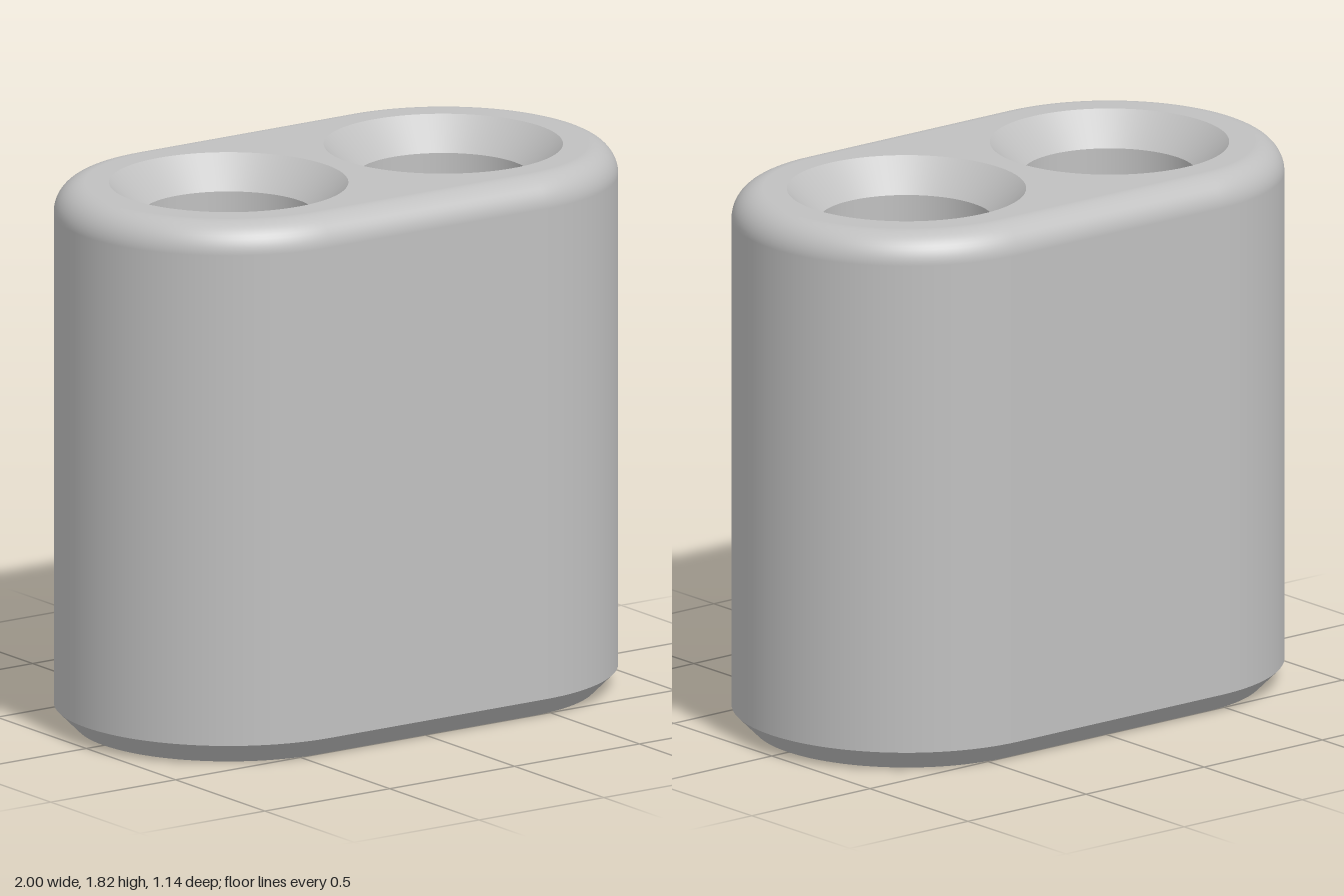
import * as THREE from 'three';

const HEIGHT = 1.82, RADIUS = 0.57, CENTRE = 0.43; // body height, end radius, end centres
const FILLET = 0.1, CHAMFER = 0.07;                // top rounding, bottom bevel
const BORE = 0.285, RIM = 0.39, SINK = RIM - BORE; // through holes and their countersinks
const SEG = 48;                                    // steps per half turn

// Closed outline as {x offset, angle}: two half circles about +centre and -centre
function outline(centre) {
  const steps = [];
  for (const side of [1, -1]) {
    for (let i = 0; i <= SEG; i++) {
      const angle = Math.PI * (i / SEG - 0.5) + (side < 0 ? Math.PI : 0);
      steps.push({ cx: side * centre, angle });
    }
  }
  steps.push(steps[0]);
  return steps;
}

// Sweeps a profile of [radius, y, normalOut, normalUp] round an outline
function sweep(steps, profile) {
  const position = [], normal = [], index = [], n = profile.length;
  steps.forEach(({ cx, angle }, i) => {
    const c = Math.cos(angle), s = Math.sin(angle);
    profile.forEach(([r, y, out, up], j) => {
      position.push(cx + r * c, y, r * s);
      normal.push(out * c, up, out * s);
      if (i < steps.length - 1 && j < n - 1) {
        const a = i * n + j, b = a + n;
        index.push(a, a + 1, b, b, a + 1, b + 1);
      }
    });
  });
  const geometry = new THREE.BufferGeometry();
  geometry.setAttribute('position', new THREE.Float32BufferAttribute(position, 3));
  geometry.setAttribute('normal', new THREE.Float32BufferAttribute(normal, 3));
  geometry.setIndex(index);
  return geometry;
}

// Straight facet between two profile points, with its own flat-profile normal
function facet([r0, y0], [r1, y1]) {
  const length = Math.hypot(r1 - r0, y1 - y0);
  const out = (y1 - y0) / length, up = (r0 - r1) / length;
  return [[r0, y0, out, up], [r1, y1, out, up]];
}

// Flat end face with both hole mouths cut out
function endFace(radius) {
  const shape = new THREE.Shape();
  shape.absarc(CENTRE, 0, radius, -Math.PI / 2, Math.PI / 2, false);
  shape.absarc(-CENTRE, 0, radius, Math.PI / 2, Math.PI * 1.5, false);
  for (const side of [1, -1]) {
    const hole = new THREE.Path();
    hole.absarc(side * CENTRE, 0, RIM, 0, Math.PI * 2, true);
    shape.holes.push(hole);
  }
  return new THREE.ShapeGeometry(shape, SEG);
}

export function createModel() {
  const model = new THREE.Group();
  model.name = 'twinBoreBlock';
  const grey = new THREE.MeshStandardMaterial({ color: 0xc0c0c0 });
  grey.name = 'grey';

  const add = (name, geometry, parent = model) => {
    const mesh = new THREE.Mesh(geometry, grey);
    mesh.name = name;
    parent.add(mesh);
    return mesh;
  };

  // Outer shell: bevelled foot, straight wall and rounded top edge
  const body = outline(CENTRE);
  const shoulder = HEIGHT - FILLET;
  add('bottomChamfer', sweep(body, facet([RADIUS - CHAMFER, 0], [RADIUS, CHAMFER])));
  add('outerWall', sweep(body, facet([RADIUS, CHAMFER], [RADIUS, shoulder])));
  const round = [];
  for (let i = 0; i <= 12; i++) {
    const a = (i / 12) * Math.PI / 2, c = Math.cos(a), s = Math.sin(a);
    round.push([RADIUS - FILLET + FILLET * c, shoulder + FILLET * s, c, s]);
  }
  add('topFillet', sweep(body, round));

  // End faces
  add('topFace', endFace(RADIUS - FILLET).rotateX(-Math.PI / 2).translate(0, HEIGHT, 0));
  add('bottomFace', endFace(RADIUS - CHAMFER).rotateX(Math.PI / 2));

  // Two through holes, countersunk at both ends
  const circle = outline(0);
  for (const side of [1, -1]) {
    const hole = new THREE.Group();
    hole.name = side > 0 ? 'leftHole' : 'rightHole';
    hole.position.x = side * CENTRE;
    add('topCountersink', sweep(circle, facet([RIM, HEIGHT], [BORE, HEIGHT - SINK])), hole);
    add('bore', sweep(circle, facet([BORE, HEIGHT - SINK], [BORE, SINK])), hole);
    add('bottomCountersink', sweep(circle, facet([BORE, SINK], [RIM, 0])), hole);
    model.add(hole);
  }
  return model;
}
